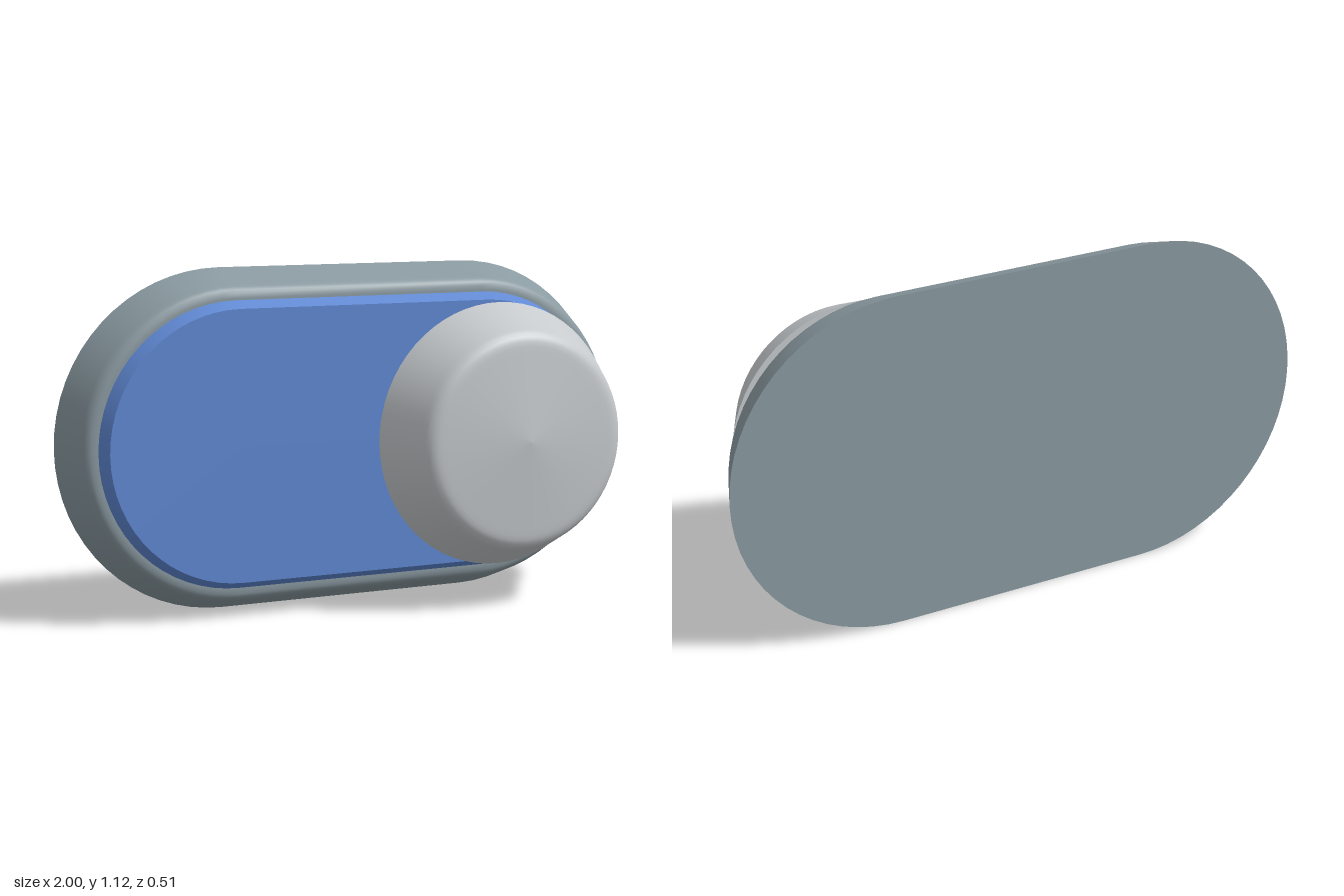
import * as THREE from 'three';

const CY = 0.56;      // height of the switch centre
const HALF = 0.44;    // half length of the straight sides

// Sweeps a [radius, z] profile around a stadium outline (smooth within one call)
function stadiumSkin(profile, arc = 32) {
  const pos = [], index = [], n = 2 * (arc + 1);
  for (const [r, z] of profile) {
    for (const side of [1, -1]) {
      for (let i = 0; i <= arc; i++) {
        const a = -Math.PI / 2 + Math.PI * i / arc;
        pos.push(side * (HALF + r * Math.cos(a)), CY + side * r * Math.sin(a), z);
      }
    }
  }
  for (let k = 0; k < profile.length - 1; k++) {
    for (let i = 0; i < n; i++) {
      const a = k * n + i, b = k * n + (i + 1) % n;
      index.push(a, b, b + n, a, b + n, a + n);
    }
  }
  const geo = new THREE.BufferGeometry();
  geo.setAttribute('position', new THREE.Float32BufferAttribute(pos, 3));
  geo.setIndex(index);
  geo.computeVertexNormals();
  return geo;
}

// Flat stadium plate facing forward or backward
function stadiumCap(r, z, front) {
  return stadiumSkin(front ? [[r, z], [0, z]] : [[0, z], [r, z]]);
}

export function createModel() {
  const group = new THREE.Group();
  const material = (name, color) => {
    const m = new THREE.MeshStandardMaterial({ color });
    m.name = name;
    return m;
  };
  const slate = material('slate grey', 0x8a9aa1);
  const blue = material('blue', 0x5f88d3);
  const silver = material('light grey', 0xc6cacd);

  const add = (name, geo, mat) => {
    const mesh = new THREE.Mesh(geo, mat);
    mesh.name = name;
    group.add(mesh);
    return mesh;
  };

  // Housing: sloping wall rolling over into the front rim
  add('housingWall', stadiumSkin([
    [0.56, -0.253], [0.518, -0.141], [0.512, -0.125], [0.506, -0.112],
    [0.497, -0.102], [0.485, -0.096], [0.47, -0.095], [0.44, -0.095],
  ]), slate);
  add('housingBack', stadiumCap(0.56, -0.253, false), slate);

  // Track: bevelled plate standing on the housing
  add('trackBevel', stadiumSkin([[0.465, -0.096], [0.44, -0.054]]), blue);
  add('trackFace', stadiumCap(0.44, -0.054, true), blue);

  // Knob: tapered disc with a rounded edge and a shallow conical front
  const knobProfile = [
    [0.438, 0.028], [0.366, 0.185], [0.359, 0.2], [0.351, 0.211],
    [0.339, 0.22], [0.325, 0.225], [0.31, 0.227], [0.29, 0.229], [0.01, 0.252], [0, 0.253],
  ].map(([r, z]) => new THREE.Vector2(r, z));
  const knob = new THREE.LatheGeometry(knobProfile, 64).rotateX(Math.PI / 2);
  add('knob', knob, silver).position.set(HALF, CY, 0);
  const back = new THREE.CircleGeometry(0.438, 64).rotateY(Math.PI);
  add('knobBack', back, silver).position.set(HALF, CY, 0.028);

  return group;
}
